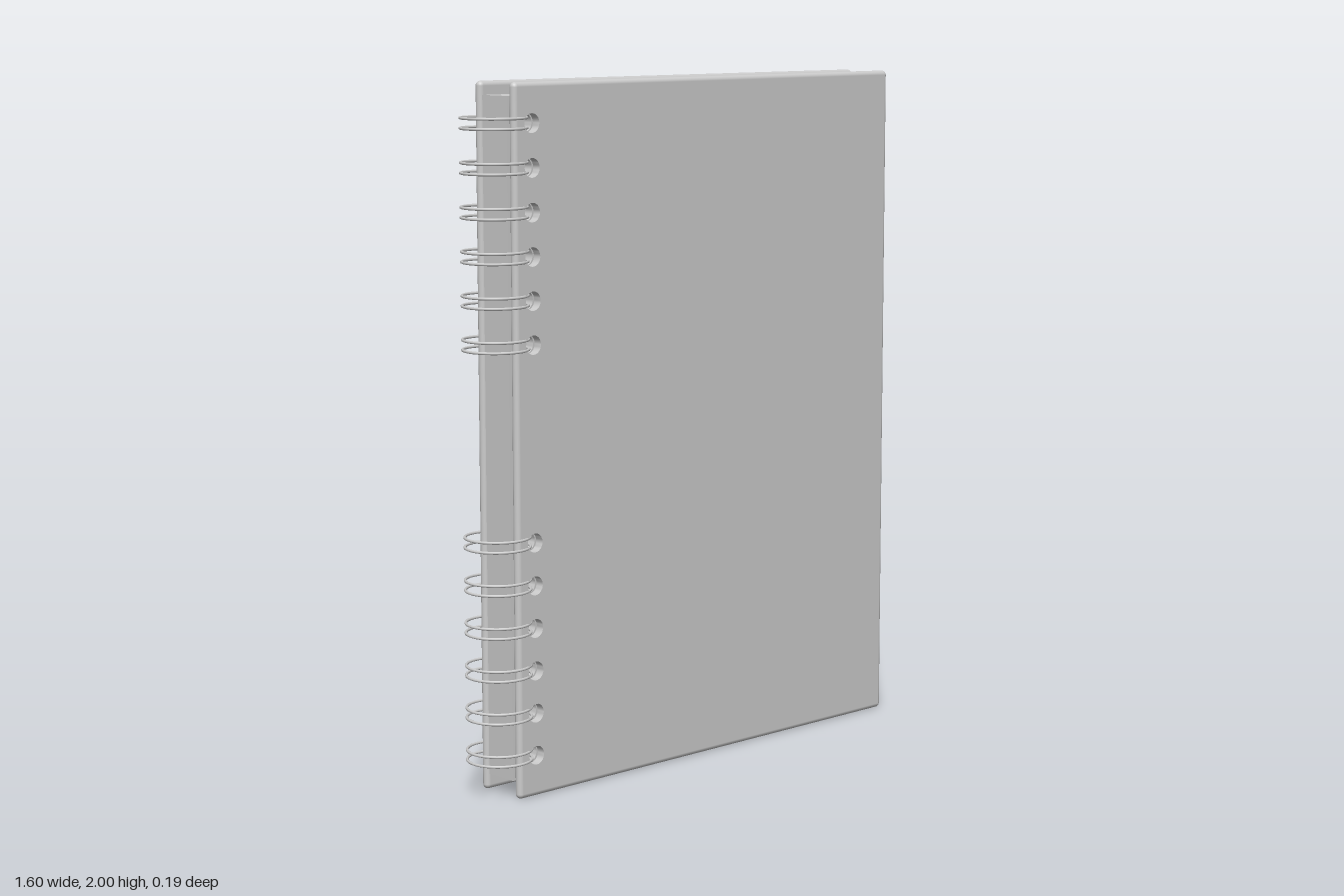
import * as THREE from 'three';
import { toCreasedNormals } from 'three/addons/utils/BufferGeometryUtils.js';

const grey = new THREE.MeshStandardMaterial({ color: 0xcccccc });

// Binding layout: two runs of six holes up the spine side
const HOLE_X = -0.64, HOLE_R = 0.027;
const holeYs = [];
for (const start of [0.118, 1.28]) {
  for (let i = 0; i < 6; i++) holeYs.push(start + i * 0.1216);
}

function addMesh(parent, name, geometry, x = 0, y = 0, z = 0) {
  const mesh = new THREE.Mesh(geometry, grey);
  mesh.name = name;
  mesh.position.set(x, y, z);
  parent.add(mesh);
  return mesh;
}

// Rectangular slab with the binding holes punched through, centred on z = 0
function punchedSlab(x0, x1, y0, y1, depth) {
  const shape = new THREE.Shape([
    new THREE.Vector2(x0, y0), new THREE.Vector2(x1, y0),
    new THREE.Vector2(x1, y1), new THREE.Vector2(x0, y1),
  ]);
  for (const y of holeYs) {
    shape.holes.push(new THREE.Path().absarc(HOLE_X, y, HOLE_R, 0, Math.PI * 2, true));
  }
  const geo = new THREE.ExtrudeGeometry(shape, { depth, bevelEnabled: false, curveSegments: 12 });
  geo.translate(0, 0, -depth / 2);
  return toCreasedNormals(geo, 0.7);
}

// Hard cover: punched board with half-round edges and ball corners
function makeCover(name, z) {
  const cover = new THREE.Group();
  cover.name = name;
  cover.position.z = z;
  const r = 0.0135;
  const x0 = -0.703 + r, x1 = 0.796 - r, y0 = r, y1 = 2 - r;
  addMesh(cover, 'coverBoard', punchedSlab(x0, x1, y0, y1, r * 2));
  for (const x of [x0, x1]) {
    addMesh(cover, 'sideEdge', new THREE.CylinderGeometry(r, r, y1 - y0, 16, 1, true), x, 1, 0);
    for (const y of [y0, y1]) addMesh(cover, 'corner', new THREE.SphereGeometry(r, 16, 12), x, y, 0);
  }
  for (const y of [y0, y1]) {
    const edge = new THREE.CylinderGeometry(r, r, x1 - x0, 16, 1, true).rotateZ(Math.PI / 2);
    addMesh(cover, 'endEdge', edge, (x0 + x1) / 2, y, 0);
  }
  return cover;
}

export function createModel() {
  const notebook = new THREE.Group();
  notebook.name = 'notebook';

  notebook.add(makeCover('frontCover', 0.0715), makeCover('backCover', -0.0715));
  addMesh(notebook, 'pages', punchedSlab(-0.7, 0.755, 0.048, 1.962, 0.104));

  // Twin wire loops through each hole
  const binding = new THREE.Group();
  binding.name = 'wireBinding';
  const loop = new THREE.TorusGeometry(0.0915, 0.004, 8, 48).rotateX(Math.PI / 2);
  for (const y of holeYs) {
    for (const offset of [-0.014, 0.014]) addMesh(binding, 'wireLoop', loop, -0.7045, y + offset, 0);
  }
  notebook.add(binding);

  return notebook;
}
